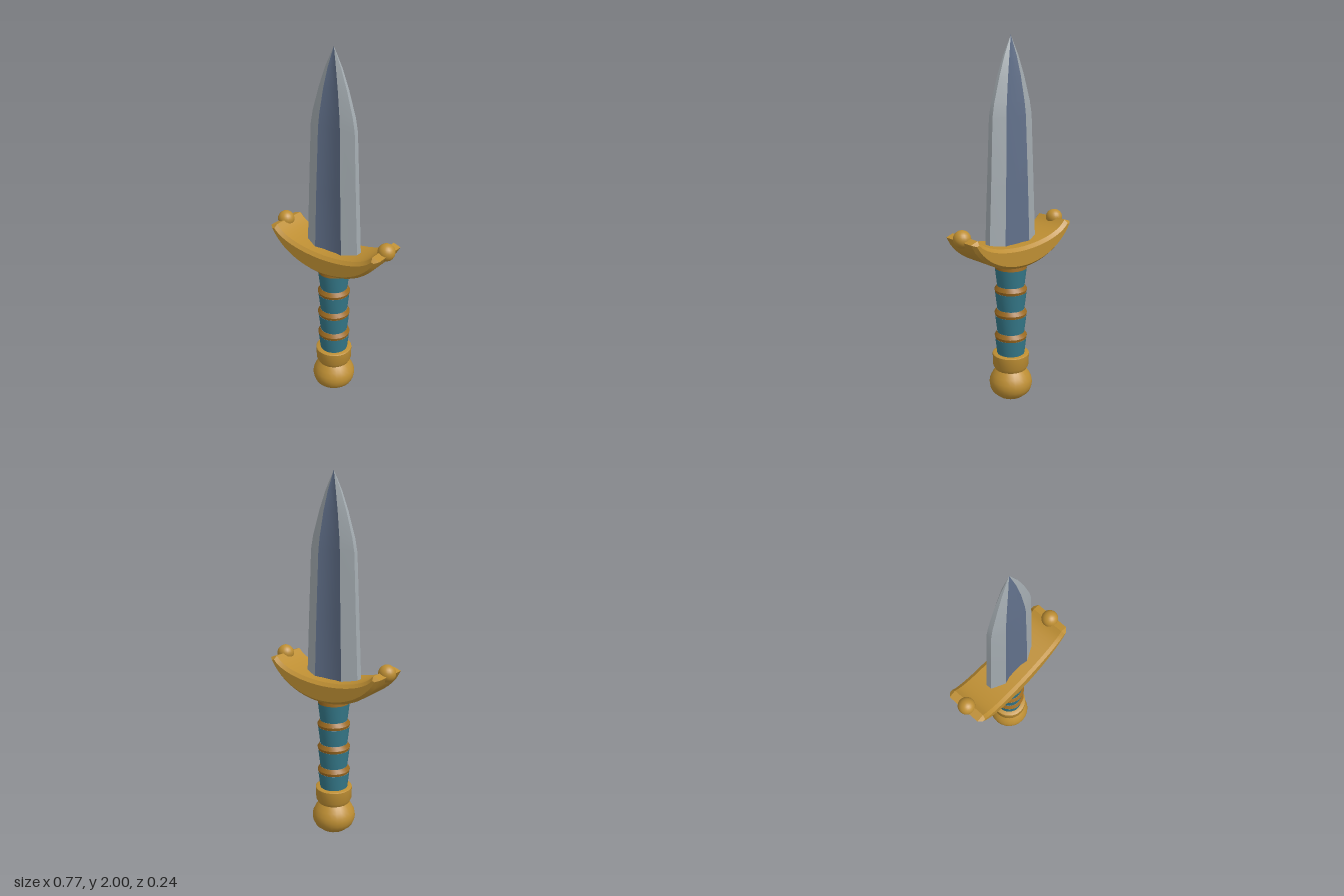
import * as THREE from 'three';
import { toCreasedNormals } from 'three/addons/utils/BufferGeometryUtils.js';

const material = (name, color) => {
  const m = new THREE.MeshStandardMaterial({ color });
  m.name = name;
  return m;
};

export function createModel() {
  const steel = material('steel', 0xa3abb0);
  const darkSteel = material('darkSteel', 0x61708a);
  const gold = material('gold', 0xbd8e33);
  const bronze = material('bronze', 0x9c6a20);
  const teal = material('teal', 0x35798a);

  const model = new THREE.Group();
  model.name = 'dagger';
  const add = (name, geometry, mat) => {
    const mesh = new THREE.Mesh(geometry, mat);
    mesh.name = name;
    model.add(mesh);
    return mesh;
  };
  // turned part, profile listed bottom to top as [radius, y]
  const turned = (name, profile, mat, crease = 0.6) =>
    add(name, toCreasedNormals(new THREE.LatheGeometry(profile.map(p => new THREE.Vector2(...p)), 24), crease), mat);

  // pommel and collar
  turned('pommel', [[0, 0], [0.06, 0.004], [0.075, 0.012], [0.107, 0.04], [0.118, 0.065], [0.122, 0.09],
    [0.118, 0.115], [0.105, 0.142], [0.088, 0.165], [0.07, 0.185]], gold);
  turned('collar', [[0.06, 0.178], [0.09, 0.178], [0.101, 0.2], [0.103, 0.268], [0.097, 0.272], [0.06, 0.272]], gold);

  // grip: wrapped sections that narrow downward, with a bronze ring under each
  const ringY = [0.383, 0.52, 0.657];
  const sectionTop = [...ringY.map(y => y - 0.02), 0.775];
  const sectionBottom = [0.26, ...ringY.map(y => y + 0.018)];
  sectionTop.forEach((top, i) =>
    turned('gripSection' + (i + 1), [[0.076, sectionBottom[i]], [0.088, top]], teal));
  ringY.forEach((y, i) =>
    turned('gripRing' + (i + 1), [[0.087, y - 0.02], [0.091, y - 0.004], [0.077, y + 0.018]], bronze));
  turned('gripTopRing', [[0.088, 0.775], [0.084, 0.81], [0.05, 0.83]], bronze);

  // crescent guard with chamfered rim
  const crescent = new THREE.Shape();
  crescent.moveTo(-0.337, 0.985);
  crescent.bezierCurveTo(-0.27, 0.87, -0.13, 0.817, 0, 0.817);
  crescent.bezierCurveTo(0.13, 0.817, 0.27, 0.87, 0.337, 0.985);
  crescent.lineTo(0.322, 0.989);
  crescent.bezierCurveTo(0.27, 0.93, 0.14, 0.902, 0, 0.9);
  crescent.bezierCurveTo(-0.14, 0.902, -0.27, 0.93, -0.322, 0.989);
  crescent.closePath();
  const guard = new THREE.ExtrudeGeometry(crescent, {
    depth: 0.2, bevelThickness: 0.019, bevelSize: 0.017, bevelSegments: 1, curveSegments: 12,
  });
  guard.translate(0, 0, -0.1);
  add('guard', toCreasedNormals(guard, 0.55), gold);
  for (const [side, name] of [[1, 'leftGuardBall'], [-1, 'rightGuardBall']])
    add(name, new THREE.SphereGeometry(0.047, 20, 14), gold).position.set(side * 0.336, 1, 0);

  // blade levels: y, half width, half thickness, half width of the hollow
  const levels = [
    [0.86, 0.169, 0.055, 0.089], [1.25, 0.152, 0.05, 0.078], [1.6, 0.137, 0.042, 0.068],
    [1.67, 0.124, 0.038, 0.062], [1.8, 0.085, 0.028, 0.044], [1.9, 0.048, 0.017, 0.025], [2, 0, 0, 0],
  ];
  const section = ([y, w, t, f]) => {
    const quarter = [[w, t * 0.33], [f, t], [f * 0.5, t * 0.78]];
    const front = [...quarter, ...quarter.map(([x, z]) => [-x, z]).reverse()];
    const back = front.map(([x, z]) => [-x, -z]);
    return [...front, ...back].map(([x, z]) => [x, y, z]);
  };
  // skin between the levels along the chosen strips of the section
  const skin = strips => {
    const pos = [];
    for (let l = 0; l < levels.length - 1; l++) {
      const lo = section(levels[l]), hi = section(levels[l + 1]);
      for (const s of strips) {
        const n = (s + 1) % lo.length;
        pos.push(...lo[s], ...hi[n], ...hi[s]);
        pos.push(...lo[s], ...lo[n], ...hi[n]);
      }
    }
    // counter-clockwise seen from outside
    for (let i = 0; i < pos.length; i += 9)
      for (let k = 0; k < 3; k++) [pos[i + 3 + k], pos[i + 6 + k]] = [pos[i + 6 + k], pos[i + 3 + k]];
    const g = new THREE.BufferGeometry();
    g.setAttribute('position', new THREE.Float32BufferAttribute(pos, 3));
    return toCreasedNormals(g, 0.35);
  };
  add('bladeEdges', skin([0, 4, 5, 6, 10, 11]), steel);
  add('bladeHollows', skin([1, 2, 3, 7, 8, 9]), darkSteel);

  return model;
}
